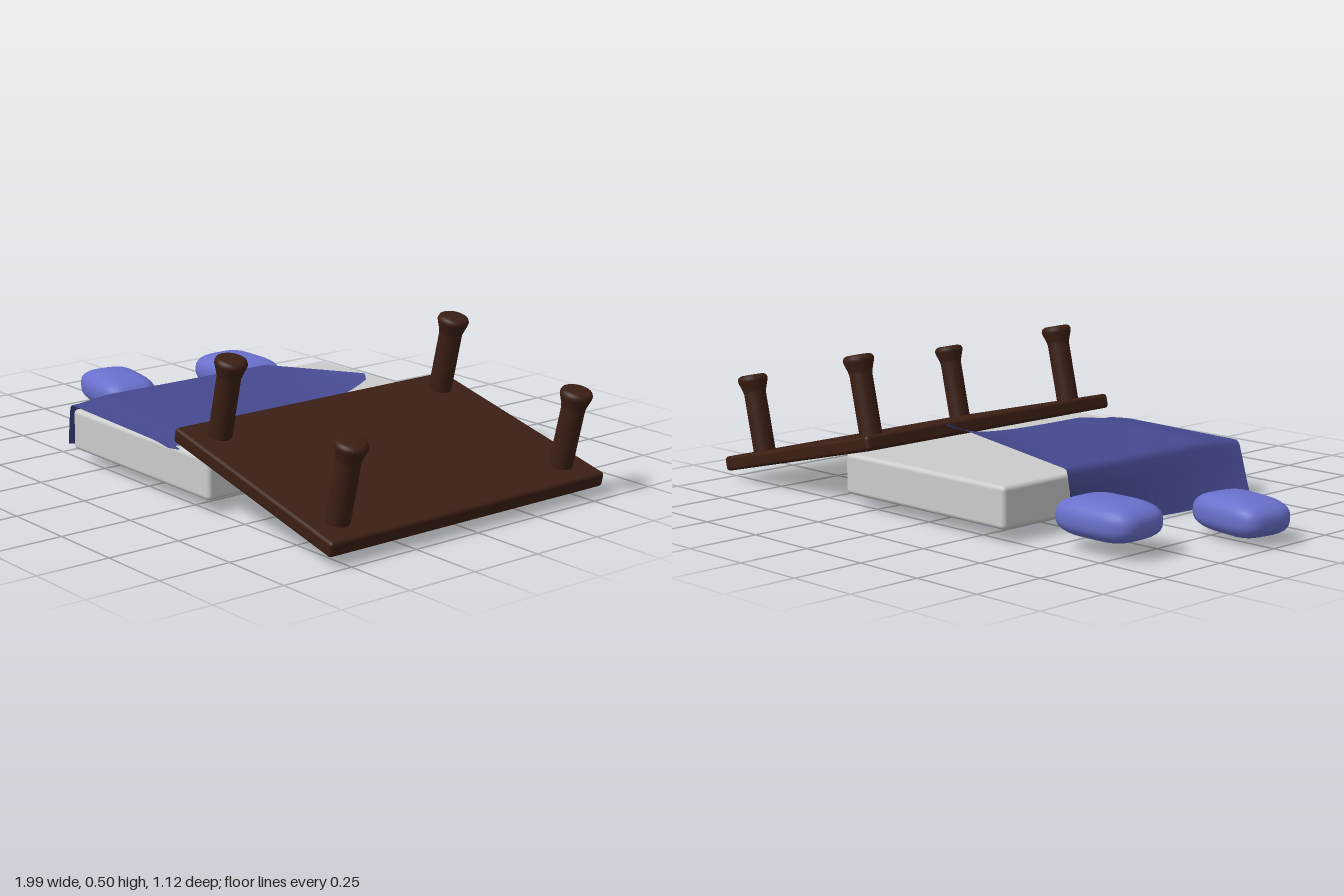
import * as THREE from 'three';
import { RoundedBoxGeometry } from 'three/addons/geometries/RoundedBoxGeometry.js';
import { mergeVertices } from 'three/addons/utils/BufferGeometryUtils.js';

const { lerp, smoothstep } = THREE.MathUtils;
const grey = new THREE.MeshStandardMaterial({ color: 0xcccccc });
const wood = new THREE.MeshStandardMaterial({ color: 0x3b1f14 });
const pillowCloth = new THREE.MeshStandardMaterial({ color: 0x6a70cc });
const blanketCloth = new THREE.MeshStandardMaterial({ color: 0x45498f, side: THREE.DoubleSide });

function add(parent, name, geometry, material, x = 0, y = 0, z = 0) {
  const mesh = new THREE.Mesh(geometry, material);
  mesh.name = name;
  mesh.position.set(x, y, z);
  parent.add(mesh);
  return mesh;
}

// Sphere pushed out into a soft, rounded cushion
function pillowGeometry(w, h, d) {
  let geo = new THREE.SphereGeometry(1, 40, 24);
  geo.deleteAttribute('uv');
  geo.deleteAttribute('normal');
  geo = mergeVertices(geo);
  const pos = geo.attributes.position;
  const p = new THREE.Vector3();
  for (let i = 0; i < pos.count; i++) {
    p.fromBufferAttribute(pos, i);
    const plan = Math.pow(p.x ** 4 + p.z ** 4, 1 / 4);
    p.divideScalar(Math.pow(plan ** 2.7 + Math.abs(p.y) ** 2.7, 1 / 2.7));
    pos.setXYZ(i, p.x * w / 2, p.y * h / 2, p.z * d / 2);
  }
  geo.computeVertexNormals();
  return geo;
}

// Draped sheet: each row runs from the floor, over the mattress edge and across the top
function blanketGeometry() {
  const rows = 32, topSteps = 20;
  const positions = [], index = [];
  let cols = 0;
  for (let r = 0; r <= rows; r++) {
    const t = r / rows;
    const sag = 0.017 * smoothstep(t, 0.8, 1);
    const floorX = lerp(-0.405, -0.525, t);
    const row = [
      [floorX, lerp(0.016, 0.02, t) - 0.05 * t * (1 - t), lerp(-0.28, 0.46, t)],
      [lerp(floorX, -0.42, 0.33), 0.07, lerp(-0.282, 0.48, t)],
      [lerp(floorX, -0.42, 0.67), 0.13, lerp(-0.284, 0.5, t)],
      [lerp(-0.405, -0.43, t), 0.185 - sag * 0.5, lerp(-0.285, 0.512, t)],
      [lerp(-0.4, -0.415, t), 0.202 - sag * 0.8, lerp(-0.285, 0.516, t)],
    ];
    for (let s = 0; s <= topSteps; s++) {
      const u = s / topSteps;
      const x = lerp(-0.385, lerp(0.16, 0.207, t), u);
      // Lifted rear corner that fades towards the front
      const lift = 0.072 * Math.min(1, u * 1.06) * Math.exp(-6 * t) * (u > 0.97 ? 0.83 : 1);
      const corner = u > 0.97 ? 0.018 : 0;
      row.push([x, 0.206 + lift - sag - 0.008 * smoothstep(u, 0.8, 1) * t,
        lerp(lerp(-0.285, -0.295, u) + corner, lerp(0.518, 0.552, u) - corner, t)]);
    }
    cols = row.length;
    row.forEach((p) => positions.push(...p));
  }
  for (let r = 0; r < rows; r++) {
    for (let c = 0; c < cols - 1; c++) {
      const a = r * cols + c, b = a + cols;
      index.push(a, b, a + 1, b, b + 1, a + 1);
    }
  }
  const geo = new THREE.BufferGeometry();
  geo.setAttribute('position', new THREE.Float32BufferAttribute(positions, 3));
  geo.setIndex(index);
  geo.computeVertexNormals();
  return geo;
}

export function createModel() {
  const model = new THREE.Group();
  model.name = 'brokenBed';

  add(model, 'mattress', new RoundedBoxGeometry(0.745, 0.137, 1.075, 3, 0.015), grey, -0.013, 0.116, -0.005);
  add(model, 'blanket', blanketGeometry(), blanketCloth);

  add(model, 'rearPillow', pillowGeometry(0.32, 0.128, 0.22), pillowCloth, -0.668, 0.11, -0.376);
  const pillow = add(model, 'frontPillow', pillowGeometry(0.31, 0.126, 0.205), pillowCloth, -0.834, 0.082, 0.042);
  pillow.rotation.y = -0.17;

  // Upturned bed base, leaning on the mattress with its legs in the air
  const base = new THREE.Group();
  base.name = 'upturnedBase';
  base.position.set(0.598, 0.148, -0.003);
  base.rotation.z = -0.232;
  model.add(base);
  add(base, 'board', new RoundedBoxGeometry(0.78, 0.05, 1.125, 3, 0.012), wood);

  // Round leg with a flared foot
  const profile = [[0.038, 0.015], [0.038, 0.225], [0.041, 0.238], [0.051, 0.268], [0.052, 0.276],
    [0.048, 0.285], [0.038, 0.29], [0, 0.29]].map(([x, y]) => new THREE.Vector2(x, y));
  const legGeometry = new THREE.LatheGeometry(profile, 24);
  for (const x of [-0.29, 0.29]) {
    for (const z of [-0.46, 0.46]) add(base, 'leg', legGeometry, wood, x, 0, z);
  }
  return model;
}
